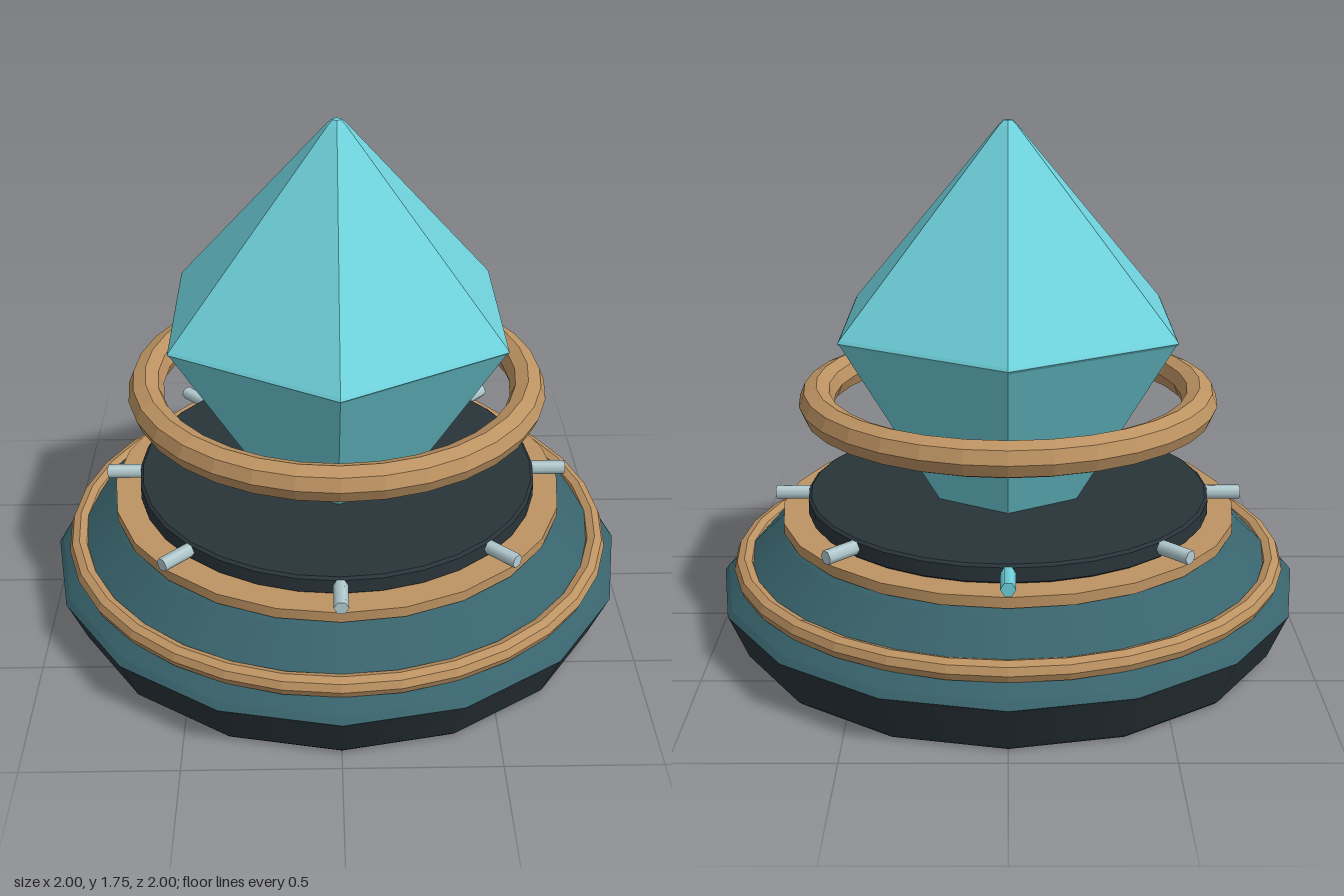
import * as THREE from 'three';

export function createModel() {
  const group = new THREE.Group();
  const mat = (name, color) => {
    const m = new THREE.MeshStandardMaterial({ color });
    m.name = name;
    return m;
  };
  const darkStone = mat('dark stone', 0x29343a);
  const tealStone = mat('teal stone', 0x39646d);
  const bronze = mat('bronze', 0xbd9362);
  const crystalBlue = mat('crystal blue', 0x6fd2dc);
  const paleSteel = mat('pale steel', 0xb4cdd2);

  const add = (name, geometry, material, y = 0) => {
    const mesh = new THREE.Mesh(geometry, material);
    mesh.name = name;
    mesh.position.y = y;
    group.add(mesh);
    return mesh;
  };

  // Stack of frustums from [radius, y] points; creased between bands, closed at both ends
  const stack = (name, profile, sides, material, flat = false) => {
    const part = new THREE.Group();
    part.name = name;
    const last = profile.length - 2;
    for (let i = 0; i <= last; i++) {
      const [r0, y0] = profile[i];
      const [r1, y1] = profile[i + 1];
      const makeBand = (open) => new THREE.CylinderGeometry(r1, r0, y1 - y0, sides, 1, open);
      let geometry = makeBand(i > 0 && i < last);
      if (flat) {
        geometry = geometry.toNonIndexed();
        geometry.computeVertexNormals();
      }
      const mesh = new THREE.Mesh(geometry, material);
      mesh.name = name + 'Band';
      mesh.position.y = (y0 + y1) / 2;
      part.add(mesh);
    }
    group.add(part);
  };

  // Horizontal ring with an octagonal section and flat facets
  const ring = (name, radius, tube, y) => {
    const geometry = new THREE.TorusGeometry(radius, tube, 8, 32).rotateX(Math.PI / 2).toNonIndexed();
    geometry.computeVertexNormals();
    add(name, geometry, bronze, y);
  };

  // Stepped pedestal
  stack('foot', [[0.92, 0], [0.935, 0.015], [0.995, 0.16], [1, 0.17]], 16, darkStone);
  stack('slopedPlinth', [[1, 0.17], [0.985, 0.19], [0.79, 0.375], [0.765, 0.395]], 16, tealStone);
  ring('plinthBand', 0.915, 0.035, 0.255);
  stack('collar', [[0.78, 0.392], [0.78, 0.428]], 24, bronze);
  stack('topDisc', [[0.68, 0.428], [0.69, 0.436], [0.69, 0.484], [0.68, 0.492]], 32, darkStone);

  // Six-sided crystal with a narrow girdle and blunt tip
  stack('crystal', [[0.25, 0.46], [0.615, 1.075], [0.625, 1.085], [0.618, 1.095],
    [0.035, 1.735], [0.015, 1.752]], 6, crystalBlue, true);

  // Floating ring around the crystal
  ring('floatingRing', 0.65, 0.06, 0.82);

  // Eight radial pins; the rear one is lit like the crystal
  for (let i = 0; i < 8; i++) {
    const angle = (i * Math.PI) / 4;
    const geometry = new THREE.CylinderGeometry(0.024, 0.024, 0.14, 6)
      .rotateY(Math.PI / 2).rotateX(Math.PI / 2).translate(0, 0, 0.735).rotateY(angle);
    add(i === 4 ? 'rearPin' : 'pin', geometry, i === 4 ? crystalBlue : paleSteel, 0.465);
  }

  return group;
}
